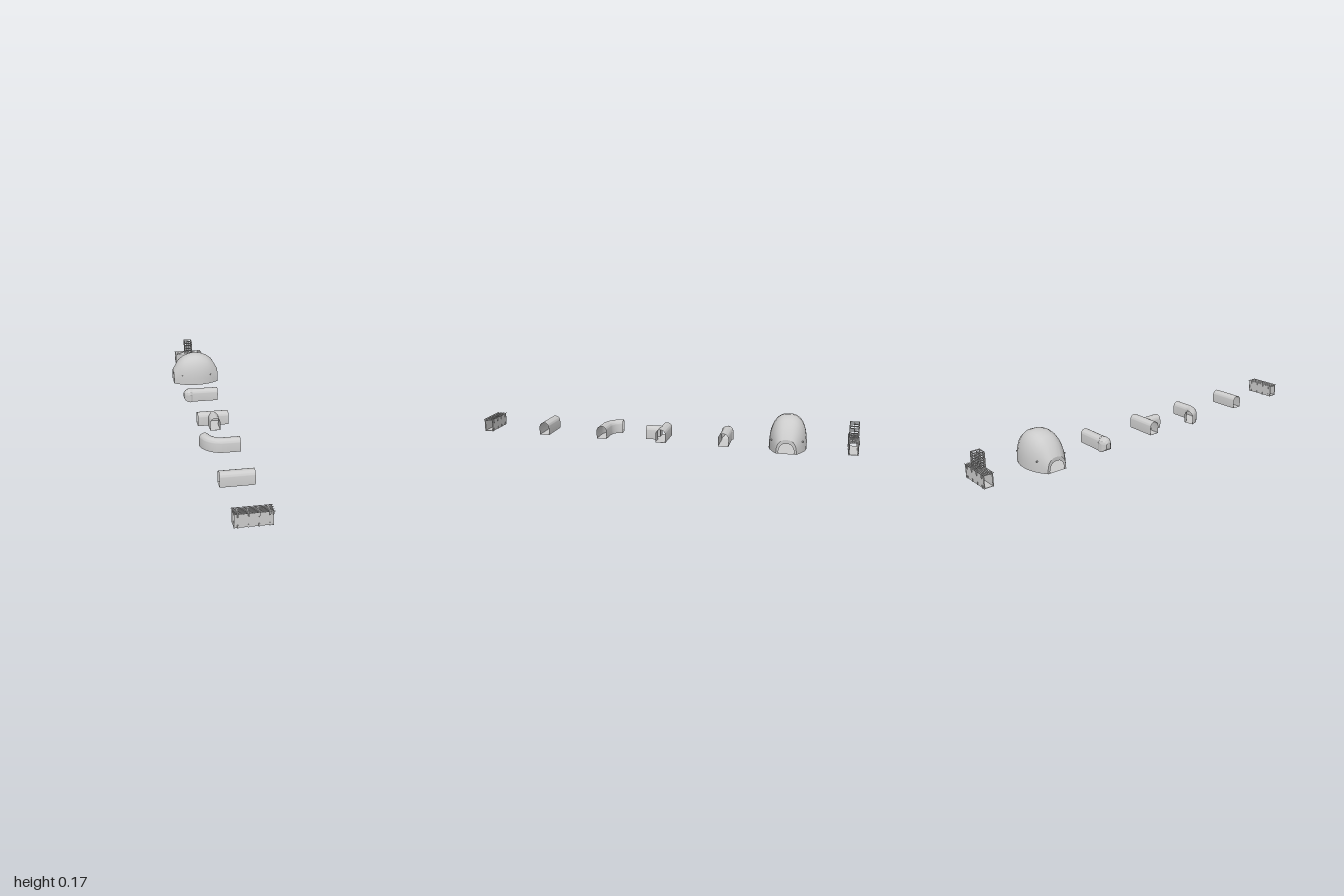
import * as THREE from 'three';
import { toCreasedNormals } from 'three/addons/utils/BufferGeometryUtils.js';

const mat = new THREE.MeshStandardMaterial({ color: 0xcccccc, side: THREE.DoubleSide });
const W = 0.0265, H = 0.071, BASE = 0.003, L = 0.082;

function add(parent, geo, name, x = 0, y = 0, z = 0) {
  const m = new THREE.Mesh(geo, mat);
  m.name = name;
  m.position.set(x, y, z);
  parent.add(m);
  return m;
}
const box = (parent, name, w, h, d, x, y, z) => add(parent, new THREE.BoxGeometry(w, h, d), name, x, y, z);

function section(root, name, z) {
  const g = new THREE.Group();
  g.name = name;
  g.position.z = z;
  root.add(g);
  return g;
}

// Skin a list of equally long rings of [x, y, z] points
function loft(rings, crease = 0.7) {
  const n = rings[0].length, index = [];
  for (let i = 0; i < rings.length - 1; i++)
    for (let j = 0; j < n - 1; j++) {
      const a = i * n + j, b = a + n;
      index.push(a, b, a + 1, a + 1, b, b + 1);
    }
  const g = new THREE.BufferGeometry();
  g.setAttribute('position', new THREE.Float32BufferAttribute(rings.flat(2), 3));
  g.setIndex(index);
  g.computeVertexNormals();
  return toCreasedNormals(g, crease);
}

// Tunnel cross-section as [across, up], from one foot over the top to the other
function arch(n = 16) {
  const pts = [[-W, BASE]];
  for (let i = 0; i <= n; i++) {
    const a = Math.PI * (1 - i / n);
    pts.push([W * Math.cos(a), H - W + W * Math.sin(a)]);
  }
  pts.push([W, BASE]);
  return pts;
}
const closed = pts => [...pts, pts[0]];

function straight(parent, x0 = -L, x1 = L) {
  const p = closed(arch());
  add(parent, loft([x1, x0].map(x => p.map(([u, y]) => [x, y, u]))), 'tunnelShell');
}

function elbow(parent) {
  const p = closed(arch()), R = 0.085, rings = [p.map(([u, y]) => [L, y, u])];
  for (let i = 0; i <= 10; i++) {
    const a = (82 * Math.PI / 180) * i / 10;
    rings.push(p.map(([u, y]) => [-(R + u) * Math.sin(a), y, (R + u) * Math.cos(a) - R]));
  }
  add(parent, loft(rings), 'bentTunnelShell');
}

// Main tunnel with a side branch, mitred where the two vaults meet
function junction(parent) {
  const p = arch(), half = p.length >> 1;
  const back = p.slice(0, half + 1), front = p.slice(half);
  add(parent, loft([L, -L].map(x => back.map(([u, y]) => [x, y, u]))), 'backWall');
  for (const s of [1, -1])
    add(parent, loft([
      front.map(([u, y]) => [s * L, y, u]),
      front.map(([u, y]) => [s * Math.abs(u), y, u]),
    ]), 'frontWall');
  add(parent, loft([
    p.map(([u, y]) => [u, y, Math.abs(u)]),
    p.map(([u, y]) => [u, y, 0.092]),
  ]), 'branchShell');
  box(parent, 'floor', 2 * L, 0.001, 2 * W, 0, BASE, 0);
  box(parent, 'branchFloor', 2 * W, 0.001, 0.092 - W, 0, BASE, (0.092 + W) / 2);
}

// Straight tunnel closed by a faceted bulging nose
function endTunnel(parent) {
  straight(parent, -0.062, L);
  const p = closed(arch(6));
  const steps = [[-0.062, 1, 1], [-0.074, 1.18, 1.05], [-0.09, 1.08, 0.98], [-0.102, 0.8, 0.78], [-0.11, 0.45, 0.45], [-0.111, 0, 0]];
  add(parent, loft(steps.map(([x, sw, sh]) =>
    p.map(([u, y]) => [x, 0.036 + (y - 0.036) * sh, u * sw])), 0.1), 'nose');
}

// Large hall narrowing to a doorway at each end
function dome(parent) {
  const side = [[0.134, 0.05, 0.075], [0.1, 0.071, 0.134], [0.068, 0.085, 0.157], [0.034, 0.093, 0.17]];
  const stations = [...side, [0, 0.095, 0.174], ...side.map(([x, w, h]) => [-x, w, h]).reverse()];
  const ring = (x, w, h, n = 20) => Array.from({ length: n + 1 }, (_, i) => {
    const a = Math.PI * (1 - i / n), c = Math.cos(a);
    return [x, BASE + (h - BASE) * Math.pow(Math.max(0, Math.sin(a)), 0.8), w * Math.sign(c) * Math.pow(Math.abs(c), 0.8)];
  });
  add(parent, loft(stations.map(s => ring(...s)), 0.9), 'domeShell');
  add(parent, loft(stations.map(([x, w]) => [[x, BASE, w], [x, BASE, -w]])), 'floor');
  for (const s of [1, -1]) {
    add(parent, loft([ring(s * 0.134, 0.05, 0.075), ring(s * 0.134, 0.039, 0.056)]), 'doorFrame');
    // Round ports on the four quarters
    for (const t of [1, -1]) {
      const port = add(parent, new THREE.CylinderGeometry(0.0035, 0.0035, 0.008, 10), 'port', s * 0.086, 0.058, t * 0.076);
      port.rotation.set(t * Math.PI / 2, 0, -s * t * 0.4);
    }
  }
}

// Flat-roofed corridor with roof pipes and clamps
function corridor(parent) {
  box(parent, 'floor', 2 * L, 0.002, 0.044, 0, 0.005, 0);
  box(parent, 'roof', 2 * L, 0.002, 0.044, 0, 0.065, 0);
  for (const s of [1, -1]) {
    box(parent, 'wall', 2 * L, 0.062, 0.002, 0, 0.035, s * 0.0215);
    for (const e of [1, -1])
      box(parent, 'endPost', 0.004, 0.064, 0.005, e * (L - 0.002), 0.035, s * 0.0215);
    for (const x of [-0.066, -0.022, 0.022, 0.066]) {
      box(parent, 'upperClamp', 0.006, 0.016, 0.004, x, 0.061, s * 0.0245);
      box(parent, 'clampTip', 0.003, 0.008, 0.003, x, 0.052, s * 0.024);
      box(parent, 'lowerClamp', 0.005, 0.014, 0.003, x, 0.01, s * 0.0235);
    }
  }
  for (let i = -3; i <= 3; i++) {
    const pipe = add(parent, new THREE.CylinderGeometry(0.0016, 0.0016, i % 2 ? 0.172 : 0.164, 8), 'roofPipe', 0, 0.069, i * 0.0083);
    pipe.rotation.z = Math.PI / 2;
  }
  for (const x of [-0.066, -0.022, 0.022, 0.066])
    box(parent, 'crossBeam', 0.005, 0.003, 0.053, x, 0.0685, 0);
}

// Slatted square shaft rising from the roof
function tower(parent) {
  const r = 0.0215, y0 = 0.066, y1 = 0.149;
  for (const s of [1, -1]) {
    for (const t of [1, -1])
      box(parent, 'towerPost', 0.004, y1 - y0, 0.004, s * r, (y0 + y1) / 2, t * r);
    for (let i = 0; i < 7; i++) {
      const y = y0 + 0.009 + i * 0.012;
      box(parent, 'towerSlat', 2 * r, 0.005, 0.002, 0, y, s * r);
      box(parent, 'towerSlat', 0.002, 0.005, 2 * r, s * r, y, 0);
    }
    box(parent, 'ladderRail', 0.002, y1 - y0, 0.002, s * 0.007, (y0 + y1) / 2, 0);
  }
  for (let i = 0; i < 7; i++)
    box(parent, 'ladderRung', 0.014, 0.002, 0.002, 0, y0 + 0.006 + i * 0.012, 0);
}

export function createModel() {
  const root = new THREE.Group();
  root.name = 'tunnelModules';
  corridor(section(root, 'corridor', 0.972));
  straight(section(root, 'straightTunnel', 0.645));
  elbow(section(root, 'elbowTunnel', 0.32));
  junction(section(root, 'junctionTunnel', -0.001));
  endTunnel(section(root, 'endTunnel', -0.33));
  dome(section(root, 'domeHall', -0.65));
  const access = section(root, 'towerCorridor', -0.972);
  corridor(access);
  tower(access);
  return root;
}
